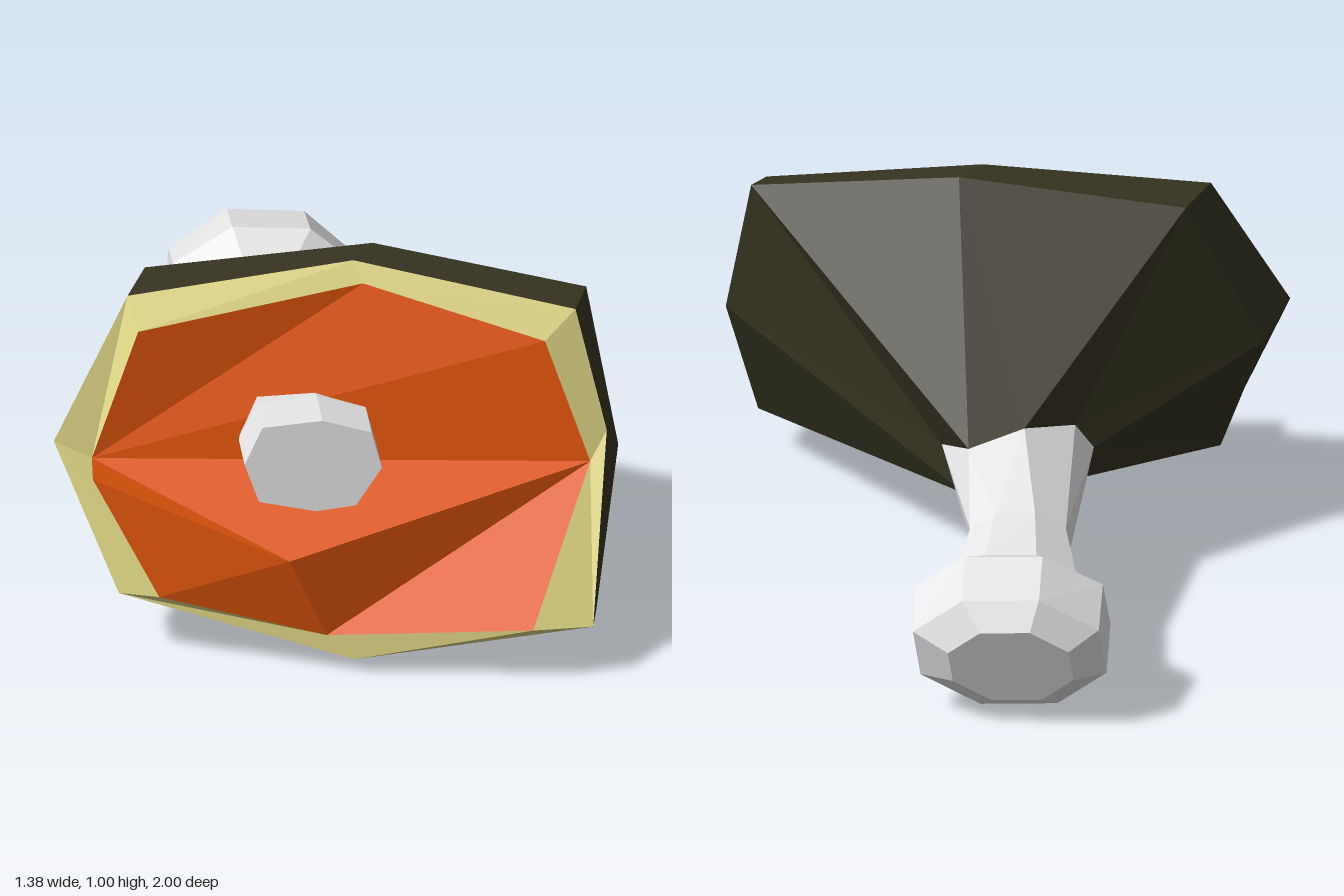
import * as THREE from 'three';

const V = (p) => new THREE.Vector3(...p);

// Flat-shaded mesh from a list of corner triples
function meshFrom(name, tris, material) {
  const g = new THREE.BufferGeometry().setFromPoints(tris);
  g.computeVertexNormals();
  const m = new THREE.Mesh(g, material);
  m.name = name;
  return m;
}

// Skin joining equal-length rings, given from front to back, clockwise seen from the front
function skin(rings) {
  const out = [];
  for (let r = 0; r + 1 < rings.length; r++) {
    const a = rings[r], b = rings[r + 1], n = a.length;
    for (let i = 0; i < n; i++) {
      const j = (i + 1) % n;
      out.push(a[i], a[j], b[j], a[i], b[j], b[i]);
    }
  }
  return out;
}

// Fan closing a ring, facing front or back
function cap(ring, front) {
  const c = ring.reduce((s, p) => s.add(p), new THREE.Vector3()).divideScalar(ring.length);
  const out = [];
  ring.forEach((p, i) => {
    const q = ring[(i + 1) % ring.length];
    out.push(c, front ? q : p, front ? p : q);
  });
  return out;
}

export function createModel() {
  const model = new THREE.Group();
  model.name = 'handBell';
  const mat = (name, color) => {
    const m = new THREE.MeshStandardMaterial({ color, flatShading: true });
    m.name = name;
    return m;
  };
  const olive = mat('darkOlive', 0x363321);
  const cream = mat('cream', 0xe3da88);
  const orange = mat('orange', 0xe3560c);
  const grey = mat('lightGrey', 0xe8e8e8);

  // Eight-sided rings of the tilted, irregular bell
  const inner = [[-.6, .52, .28], [-.47, .87, .28], [.11, .945, .4], [.51, .82, .66],
    [.59, .5, .77], [.34, .165, .98], [-.12, .105, .7], [-.505, .2, .5]].map(V);
  const rim = [[-.69, .57, .24], [-.47, .94, .21], [.1, .995, .36], [.6, .89, .65],
    [.645, .57, .75], [.5, .15, 1], [-.06, .04, .74], [-.58, .18, .41]].map(V);
  const shoulder = [[-.58, .53, .09], [-.37, .935, .09], [.18, .995, .3], [.66, .905, .58],
    [.69, .5, .72], [.56, .12, .88], [.01, 0, .61], [-.52, .145, .3]].map(V);
  const neck = [[-.07, .38, -.11], [-.02, .45, -.11], [.14, .5, -.2], [.29, .46, -.2],
    [.31, .39, -.01], [.27, .28, -.09], [.12, .26, -.12], [-.02, .29, -.1]].map(V);
  model.add(meshFrom('bellShell', skin([rim, shoulder, neck]), olive));
  model.add(meshFrom('bellLip', skin([inner, rim]), cream));

  // Mouth: recessed flat upper half, lower half with a ledge jutting out to a peak
  const [a, b, c, d, e, f, g, h] = inner;
  const peak = V([-.22, .345, .69]);
  const ledge = V([-.64, .52, .38]);
  model.add(meshFrom('bellMouth', [
    a, c, b, a, d, c, a, e, d,
    peak, e, a, peak, a, ledge,
    peak, g, e, g, f, e,
    peak, h, g, peak, ledge, h, ledge, a, h,
  ], orange));

  // Clapper: short irregular prism
  const outline = [[-.29, .58], [-.24, .68], [-.09, .69], [.03, .65],
    [.05, .55], [-.02, .45], [-.12, .44], [-.26, .475]];
  const clapRing = (s, dx, dz) => outline.map(([x, y]) => {
    const u = (x + .125) * s, v = (y - .565) * s;
    return V([-.125 + u + dx, .565 + v, .61 + .3 * u - .15 * v + dz]);
  });
  const clapFront = clapRing(1, 0, 0);
  model.add(meshFrom('clapper', [...cap(clapFront, true),
    ...skin([clapFront, clapRing(1, .035, -.12), clapRing(.8, .07, -.26)])], grey));

  // Handle: narrow waist swelling into a faceted knob
  const axis = V([.32, -.33, -.89]).normalize();
  const side = V([.94, 0, .34]).normalize();
  const up = side.clone().cross(axis);
  const ring = (centre, rx, ry) => Array.from({ length: 8 }, (_, k) => {
    const t = Math.PI - (k - .4) * Math.PI / 4;
    return V(centre).addScaledVector(side, rx * Math.cos(t)).addScaledVector(up, ry * Math.sin(t));
  });
  const handle = [
    neck,
    ring([.22, .305, -.45], .135, .105),
    ring([.28, .26, -.64], .175, .13),
    ring([.31, .25, -.71], .265, .185),
    ring([.36, .19, -.865], .262, .2),
    ring([.375, .18, -.93], .17, .13),
  ];
  model.add(meshFrom('handle', [...skin(handle), ...cap(handle[5], false)], grey));
  return model;
}
